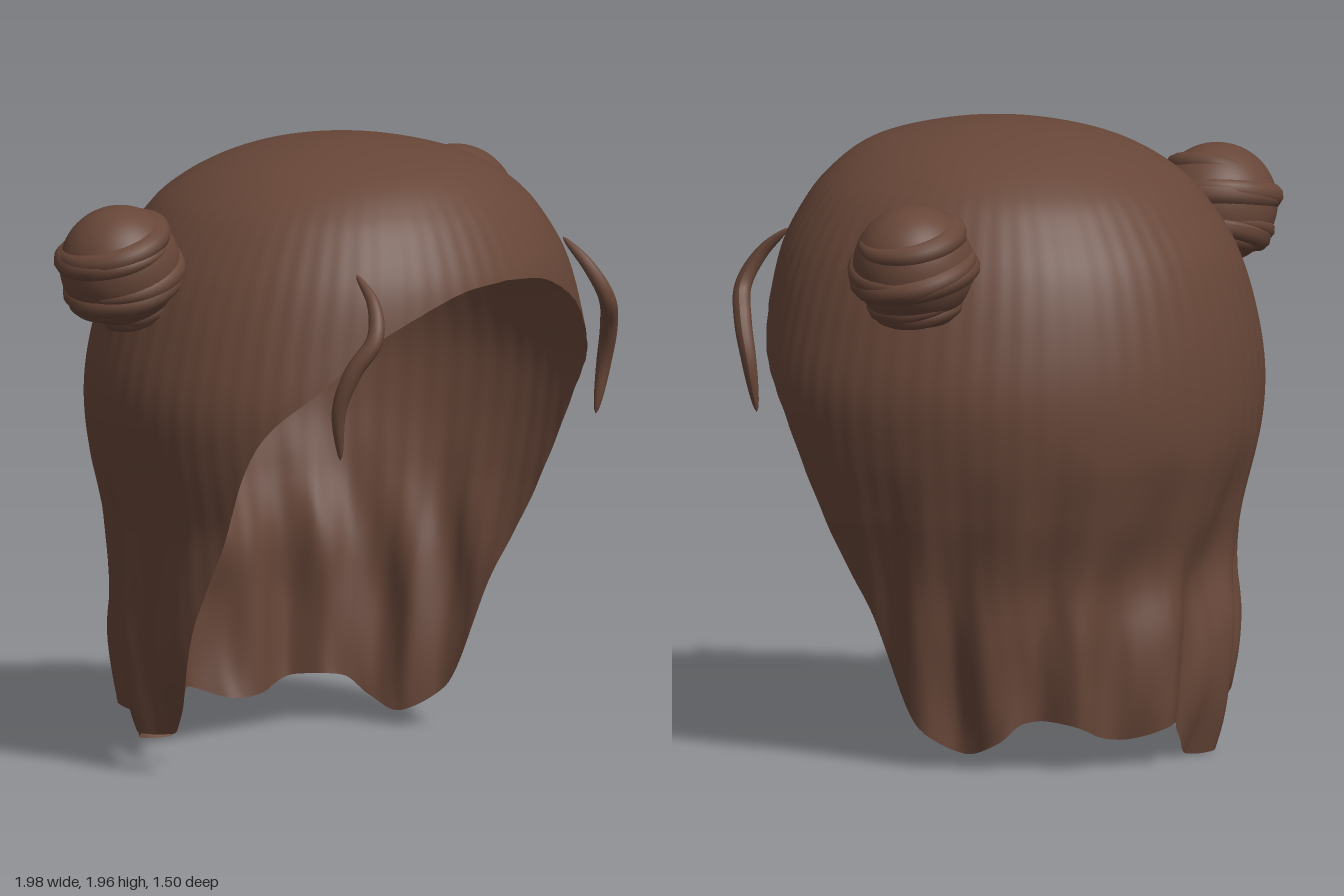
import * as THREE from 'three';

const TOP = 1.975, AXIS_Z = 0.08;

// Smooth lookup: rows are [key, ...values] with ascending keys
function lookup(rows, key, col) {
  let i = 0;
  while (i < rows.length - 2 && key > rows[i + 1][0]) i++;
  const slope = (k) => {
    const p = rows[Math.max(k - 1, 0)], n = rows[Math.min(k + 1, rows.length - 1)];
    return (n[col] - p[col]) / (n[0] - p[0]);
  };
  const a = rows[i], b = rows[i + 1], h = b[0] - a[0];
  const t = THREE.MathUtils.clamp((key - a[0]) / h, 0, 1), t2 = t * t, t3 = t2 * t;
  return (2 * t3 - 3 * t2 + 1) * a[col] + (t3 - 2 * t2 + t) * h * slope(i)
    + (3 * t2 - 2 * t3) * b[col] + (t3 - t2) * h * slope(i + 1);
}

// Height, half width, depth to the front, depth to the back
const PROFILE = [
  [TOP, 0, 0, 0], [1.95, 0.23, 0.25, 0.25], [1.9, 0.395, 0.425, 0.41], [1.8, 0.555, 0.55, 0.58],
  [1.7, 0.64, 0.62, 0.67], [1.58, 0.71, 0.672, 0.745], [1.4, 0.775, 0.70, 0.80],
  [1.2, 0.815, 0.72, 0.825], [1.0, 0.795, 0.72, 0.815], [0.8, 0.75, 0.71, 0.76],
  [0.6, 0.715, 0.70, 0.705], [0.4, 0.685, 0.70, 0.725], [0.2, 0.64, 0.70, 0.72],
  [0, 0.60, 0.70, 0.68],
].map(([y, ...r]) => [Math.sqrt(TOP - y), ...r]);

// Edge height by angle in degrees: 0 front, 90 left, 180 back
const EDGE = [
  [0, 1.59], [15, 1.57], [29, 1.5], [41, 1.41], [50, 1.3], [67, 1.1], [80, 0.75], [90, 0.48],
  [96, 0.25], [101, 0.14], [113, 0.06], [122, 0.1], [128, 0.16], [140, 0.16], [151, 0.11],
  [161, 0.1], [175, 0.14], [186, 0.03], [199, 0.02], [209, 0.08], [218, 0.17], [233, 0.15],
  [242, 0.12], [252, 0.13], [259, 0.16], [264, 0.25], [270, 0.48], [280, 0.75], [293, 1.1],
  [310, 1.3], [319, 1.41], [331, 1.5], [345, 1.57], [360, 1.59],
];

// Open shell of hair, wavy toward the hem
function hairShell() {
  const cols = 288, rows = 90, pos = [], index = [];
  for (let j = 0; j <= rows; j++) {
    for (let i = 0; i < cols; i++) {
      const deg = (i / cols) * 360, a = THREE.MathUtils.degToRad(deg);
      const s = (j / rows) * Math.sqrt(TOP - lookup(EDGE, deg, 1)), y = TOP - s * s;
      const back = THREE.MathUtils.smoothstep(-Math.cos(a), -0.1, 0.5);
      const low = 1 - THREE.MathUtils.smoothstep(y, 0.35, 1.1);
      const wave = Math.sin(15 * a + 1.4 * Math.sin(5.5 * y) + 0.8 * Math.sin(3 * a))
        + 0.25 * Math.sin(26 * a - 3 * y);
      const fine = 0.0015 * Math.sin(64 * a) * THREE.MathUtils.smoothstep(s, 0.15, 0.6);
      const k = 1 + fine + low * (0.012 + 0.028 * back) * wave;
      const depth = lookup(PROFILE, s, Math.cos(a) > 0 ? 2 : 3);
      // The lower hair sways slightly to one side
      const sway = 0.03 * Math.sin(Math.PI * THREE.MathUtils.clamp(y / 0.8, 0, 1));
      pos.push(lookup(PROFILE, s, 1) * Math.sin(a) * k - sway, y, AXIS_Z + depth * Math.cos(a) * k);
      if (j < rows) {
        const n = (i + 1) % cols, tl = j * cols + i, tr = j * cols + n;
        if (j > 0) index.push(tl, tl + cols, tr);
        index.push(tr, tl + cols, tr + cols);
      }
    }
  }
  const g = new THREE.BufferGeometry();
  g.setAttribute('position', new THREE.Float32BufferAttribute(pos, 3));
  g.setIndex(index);
  g.computeVertexNormals();
  return g;
}

// Tube that narrows toward both ends
function strand(points, radius, segments = 48) {
  const curve = new THREE.CatmullRomCurve3(points), sides = 10;
  const g = new THREE.TubeGeometry(curve, segments, radius, sides);
  const p = g.attributes.position, v = new THREE.Vector3();
  for (let i = 0; i <= segments; i++) {
    const c = curve.getPointAt(i / segments);
    const w = Math.max(0.02, Math.pow(Math.sin((Math.PI * i) / segments), 0.5));
    for (let k = 0; k <= sides; k++) {
      const n = i * (sides + 1) + k;
      v.fromBufferAttribute(p, n).sub(c).multiplyScalar(w).add(c);
      p.setXYZ(n, v.x, v.y, v.z);
    }
  }
  g.computeVertexNormals();
  return g;
}

export function createModel() {
  const model = new THREE.Group();
  model.name = 'hair';
  const brown = new THREE.MeshStandardMaterial({ color: 0x674638, side: THREE.DoubleSide });
  brown.name = 'brownHair';
  const add = (parent, name, geometry) => {
    const m = new THREE.Mesh(geometry, brown);
    m.name = name;
    parent.add(m);
  };

  add(model, 'hairShell', hairShell());

  for (const side of [1, -1]) {
    const label = side > 0 ? 'left' : 'right';

    // Bun: a ball wrapped in overlapping, tapering strands
    const bun = new THREE.Group();
    bun.name = label + 'Bun';
    bun.position.set(side * 0.787, 1.632, -0.168);
    bun.rotation.set(0.08, 0, -side * 0.33);
    add(bun, 'bunCore', new THREE.SphereGeometry(0.19, 40, 28));
    for (let n = 0; n < 7; n++) {
      const pts = [];
      for (let i = 0; i <= 24; i++) {
        const u = i / 24, turn = side * (n * 2.3 + u * 6.6);
        const lat = -1.15 + n * 0.28 + (u - 0.5) * 0.4 + 0.06 * Math.sin(turn + n);
        const r = 0.172;
        pts.push(new THREE.Vector3(r * Math.cos(lat) * Math.cos(turn), r * Math.sin(lat),
          r * Math.cos(lat) * Math.sin(turn)));
      }
      add(bun, 'bunStrand', strand(pts, 0.038, 72));
    }
    model.add(bun);

    // Loose lock framing the face
    const path = [[0.485, 1.645, 0.55], [0.505, 1.56, 0.64], [0.545, 1.46, 0.68],
      [0.6, 1.36, 0.64], [0.622, 1.24, 0.6], [0.6, 1.075, 0.585]];
    add(model, label + 'FaceLock',
      strand(path.map(([x, y, z]) => new THREE.Vector3(side * x, y, z)), 0.028));
  }
  return model;
}
